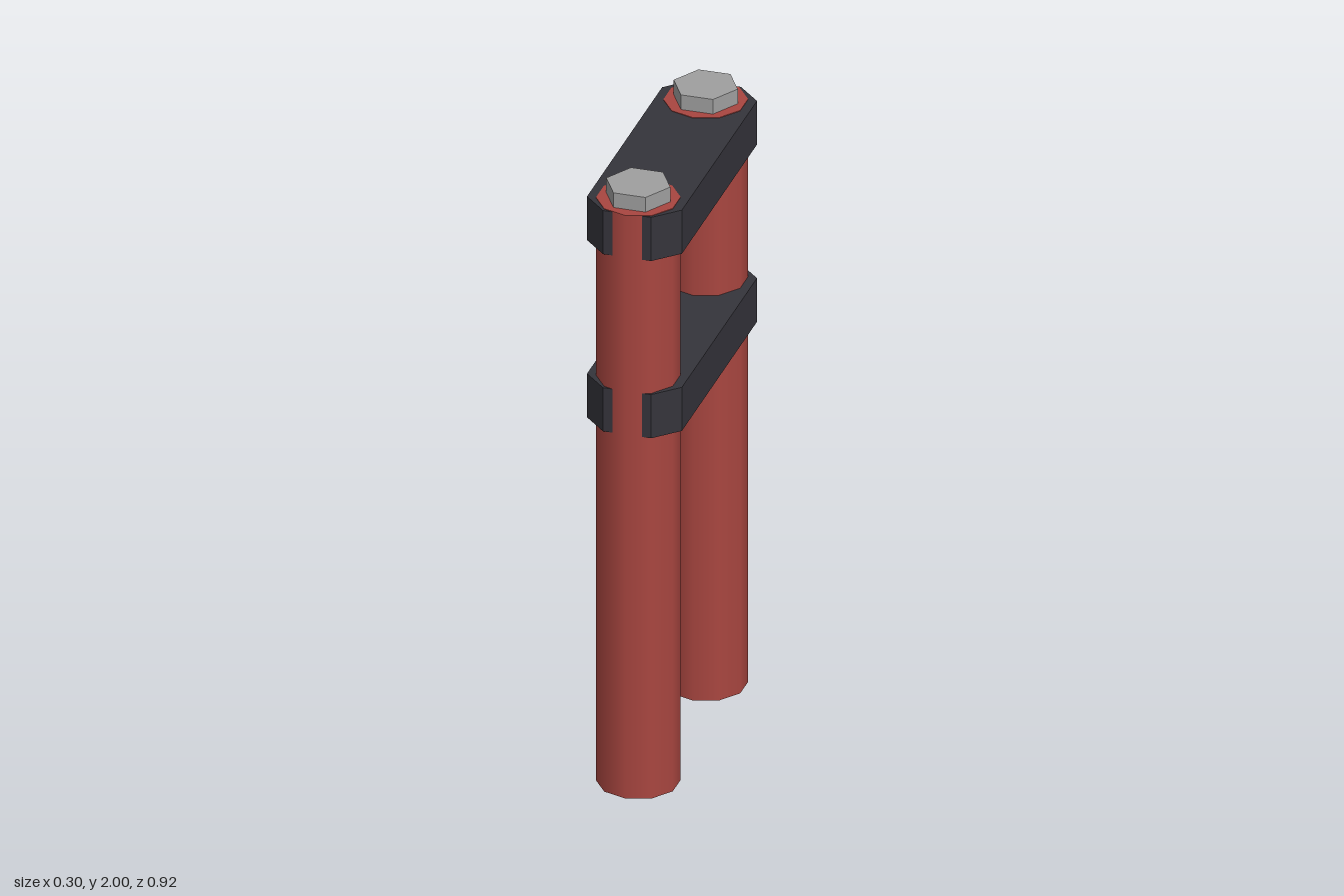
import * as THREE from 'three';

export function createModel() {
  const model = new THREE.Group();
  model.name = 'twinTubeClamp';

  const red = new THREE.MeshStandardMaterial({ color: 0xa94640 });
  red.name = 'red tube';
  const dark = new THREE.MeshStandardMaterial({ color: 0x35343b });
  dark.name = 'dark clamp';
  const steel = new THREE.MeshStandardMaterial({ color: 0x9f9f9f });
  steel.name = 'grey steel';

  const add = (name, geometry, material, y, z) => {
    const mesh = new THREE.Mesh(geometry, material);
    mesh.name = name;
    mesh.position.set(0, y, z);
    model.add(mesh);
  };

  // Ten-sided tubes, each capped by a hexagonal bolt
  const tubeHeight = 1.951;
  const tube = new THREE.CylinderGeometry(0.126, 0.126, tubeHeight, 10);
  const bolt = new THREE.CylinderGeometry(0.1, 0.1, 0.05, 6).toNonIndexed();
  bolt.rotateY(Math.PI / 2);
  bolt.computeVertexNormals();
  for (const [side, z] of [['front', 0.334], ['back', -0.334]]) {
    add(side + 'Tube', tube, red, tubeHeight / 2, z);
    add(side + 'Bolt', bolt, steel, 1.975, z);
  }

  // Clamp plates: a rectangle with chamfered corners
  const outline = new THREE.Shape([
    [0.148, -0.372], [0.148, 0.372], [0.075, 0.445], [-0.075, 0.445],
    [-0.148, 0.372], [-0.148, -0.372], [-0.075, -0.445], [0.075, -0.445],
  ].map(([x, y]) => new THREE.Vector2(x, y)));
  const plate = new THREE.ExtrudeGeometry(outline, { depth: 0.146, bevelEnabled: false });
  plate.rotateX(-Math.PI / 2);
  add('upperClamp', plate, dark, 1.803, 0);
  add('lowerClamp', plate, dark, 1.21, 0);

  return model;
}
